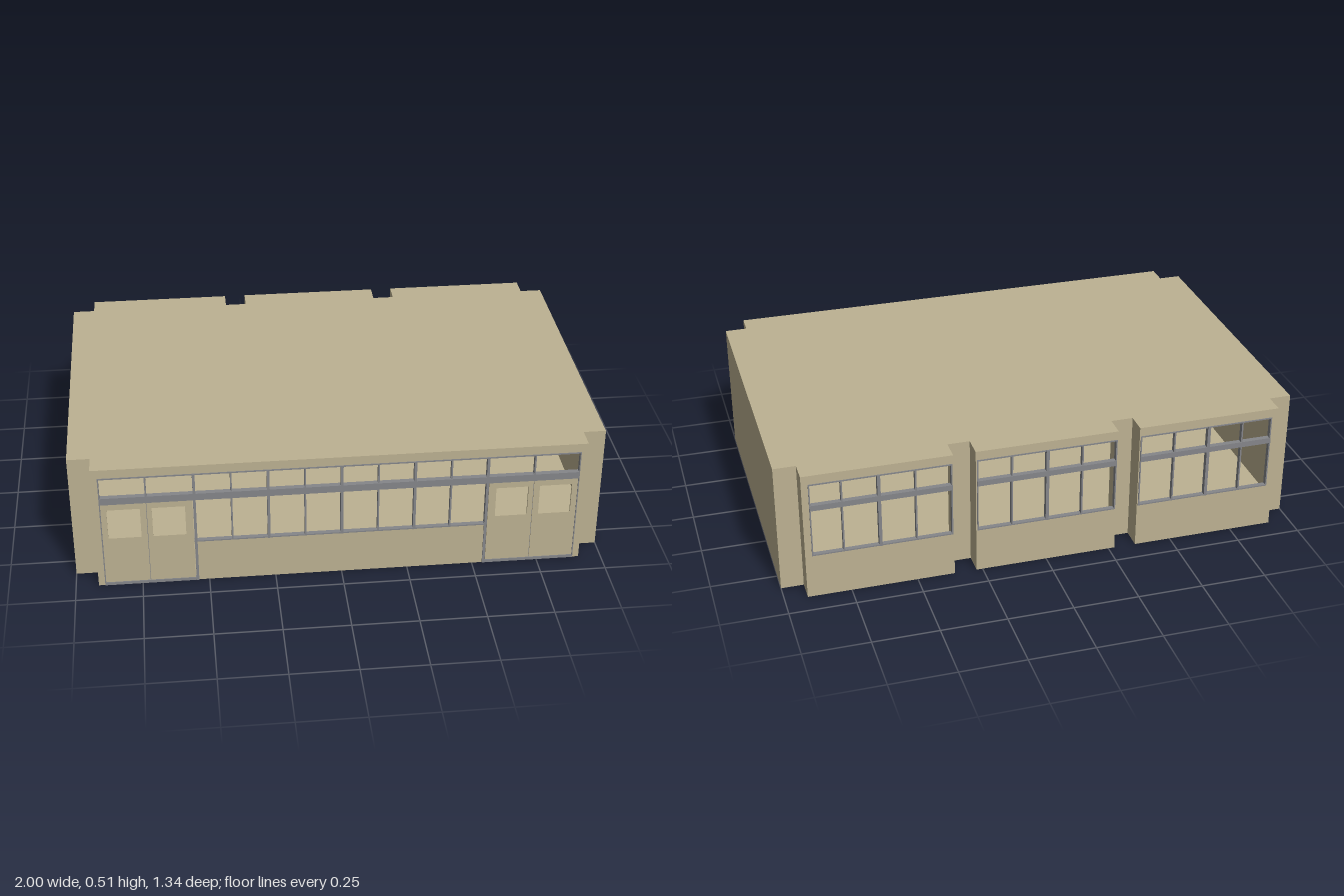
import * as THREE from 'three';

const H = 0.51;             // building height
const W = 0.665, R = 0.583; // face plane and recess plane in z
const SILL = 0.175, HEAD = 0.475, RAIL = 0.378;

const shellMat = new THREE.MeshStandardMaterial({ color: 0xbdb292, side: THREE.DoubleSide });
const frameMat = new THREE.MeshStandardMaterial({ color: 0x85868a });

function polygon(points, Type = THREE.Shape) {
  return new Type(points.map(([x, y]) => new THREE.Vector2(x, y)));
}
const rect = (x0, x1, y0, y1, Type) => polygon([[x0, y0], [x1, y0], [x1, y1], [x0, y1]], Type);

export function createModel() {
  const model = new THREE.Group();

  function add(parent, name, geometry, material) {
    const mesh = new THREE.Mesh(geometry, material);
    mesh.name = name;
    parent.add(mesh);
    return mesh;
  }
  function box(parent, name, x0, x1, y0, y1, z0, z1) {
    const m = add(parent, name, new THREE.BoxGeometry(x1 - x0, y1 - y0, Math.abs(z1 - z0)), frameMat);
    m.position.set((x0 + x1) / 2, (y0 + y1) / 2, (z0 + z1) / 2);
    return m;
  }

  // Ground plan, walked from the front left corner so that walls face outward
  const plan = [
    [-0.915, W], [0.915, W], [0.915, R], [1, R], [1, -R], [0.915, -R],
    [0.915, -W], [0.358, -W], [0.358, -R], [0.274, -R],
    [0.274, -W], [-0.274, -W], [-0.274, -R], [-0.358, -R],
    [-0.358, -W], [-0.915, -W], [-0.915, -R], [-1, -R], [-1, R], [-0.915, R],
  ];

  // Roof and floor
  const slab = polygon(plan.map(([x, z]) => [x, -z]));
  const roof = add(model, 'roof', new THREE.ShapeGeometry(slab), shellMat);
  roof.rotation.x = -Math.PI / 2;
  roof.position.y = H;
  const floor = add(model, 'floor', new THREE.ShapeGeometry(polygon(plan.map(([x, z]) => [x, z]))), shellMat);
  floor.rotation.x = Math.PI / 2;

  // Openings in the long walls, in world x
  const backBays = [[-0.89, -0.362, -0.635], [-0.27, 0.27, 0], [0.362, 0.89, 0.635]];
  const walls = new THREE.Group();
  walls.name = 'walls';
  model.add(walls);
  plan.forEach(([x0, z0], i) => {
    const [x1, z1] = plan[(i + 1) % plan.length];
    const len = Math.hypot(x1 - x0, z1 - z0);
    let shape = rect(0, len, 0, H);
    if (i === 0) {
      // Front wall: solid below the windows, open to the ground at the doors
      shape = polygon([
        [-0.915, 0], [-0.89, 0], [-0.89, HEAD], [0.89, HEAD], [0.89, 0], [0.915, 0], [0.915, H], [-0.915, H],
      ].map(([x, y]) => [x + 0.915, y]));
      const apron = add(walls, 'frontApron', new THREE.ShapeGeometry(rect(-0.55, 0.55, 0, SILL)), shellMat);
      apron.position.z = W;
    } else if (z0 === -W && z1 === -W) {
      const [a, b] = backBays.find(([, , c]) => Math.abs(c - (x0 + x1) / 2) < 0.1);
      shape.holes.push(rect(x0 - b, x0 - a, SILL, HEAD, THREE.Path));
    }
    const wall = add(walls, 'wall', new THREE.ShapeGeometry(shape), shellMat);
    wall.position.set(x0, 0, z0);
    wall.rotation.y = Math.atan2(z0 - z1, x1 - x0);
  });

  // Front glazing frame
  const front = new THREE.Group();
  front.name = 'frontWindowFrame';
  model.add(front);
  const zi = W - 0.015, zo = W + 0.003;
  box(front, 'transomRail', -0.89, 0.89, 0.362, 0.39, zi, zo + 0.002);
  box(front, 'headRail', -0.89, 0.89, HEAD - 0.005, HEAD, zi, zo);
  box(front, 'sillRail', -0.55, 0.55, SILL, SILL + 0.005, zi, zo);
  for (let i = -4; i <= 4; i++) {
    const w = i % 2 === 0 ? 0.005 : 0.003;
    const post = Math.abs(i) === 4;
    box(front, post ? 'doorPost' : 'mullion', i * 0.136 - w, i * 0.136 + w, post ? 0 : SILL, HEAD, zi, zo + (i % 2 ? 0 : 0.002));
  }

  // Double doors at both ends
  for (const s of [-1, 1]) {
    const doors = new THREE.Group();
    doors.name = s > 0 ? 'leftDoors' : 'rightDoors';
    model.add(doors);
    for (const c of [0.635, 0.805]) {
      const x = s * c, pane = s * (c === 0.635 ? 0.64 : 0.805);
      const leaf = rect(x - 0.084, x + 0.084, 0.012, 0.362);
      leaf.holes.push(rect(pane - 0.061, pane + 0.061, 0.21, 0.335, THREE.Path));
      const door = add(doors, 'doorLeaf',
        new THREE.ExtrudeGeometry(leaf, { depth: 0.008, bevelEnabled: false }), shellMat);
      door.position.z = W - 0.008;
    }
    const post = (name, x, w, y0, y1) => box(doors, name, s * x - w, s * x + w, y0, y1, zi, zo);
    post('transomMullion', 0.72, 0.003, 0.39, HEAD);
    post('doorGap', 0.72, 0.001, 0.012, 0.362).position.z = W - 0.011;
    post('outerJamb', 0.889, 0.002, 0, HEAD);
    post('threshold', 0.72, 0.17, 0, 0.012);
  }

  // Rear windows, one frame per bay
  for (const [a, b, c] of backBays) {
    const bay = new THREE.Group();
    bay.name = 'rearWindowFrame';
    model.add(bay);
    const z0 = -W + 0.015, z1 = -W - 0.003;
    box(bay, 'transomRail', a, b, RAIL - 0.012, RAIL + 0.01, z0, z1 - 0.002);
    box(bay, 'headRail', a, b, HEAD - 0.005, HEAD, z0, z1);
    box(bay, 'sillRail', a, b, SILL, SILL + 0.005, z0, z1);
    box(bay, 'jamb', a, a + 0.005, SILL, HEAD, z0, z1);
    box(bay, 'jamb', b - 0.005, b, SILL, HEAD, z0, z1);
    for (const i of [-1, 0, 1]) {
      const w = i ? 0.003 : 0.006;
      box(bay, 'mullion', c + i * 0.136 - w, c + i * 0.136 + w, SILL, HEAD, z0, z1 - (i ? 0 : 0.002));
    }
  }
  return model;
}
